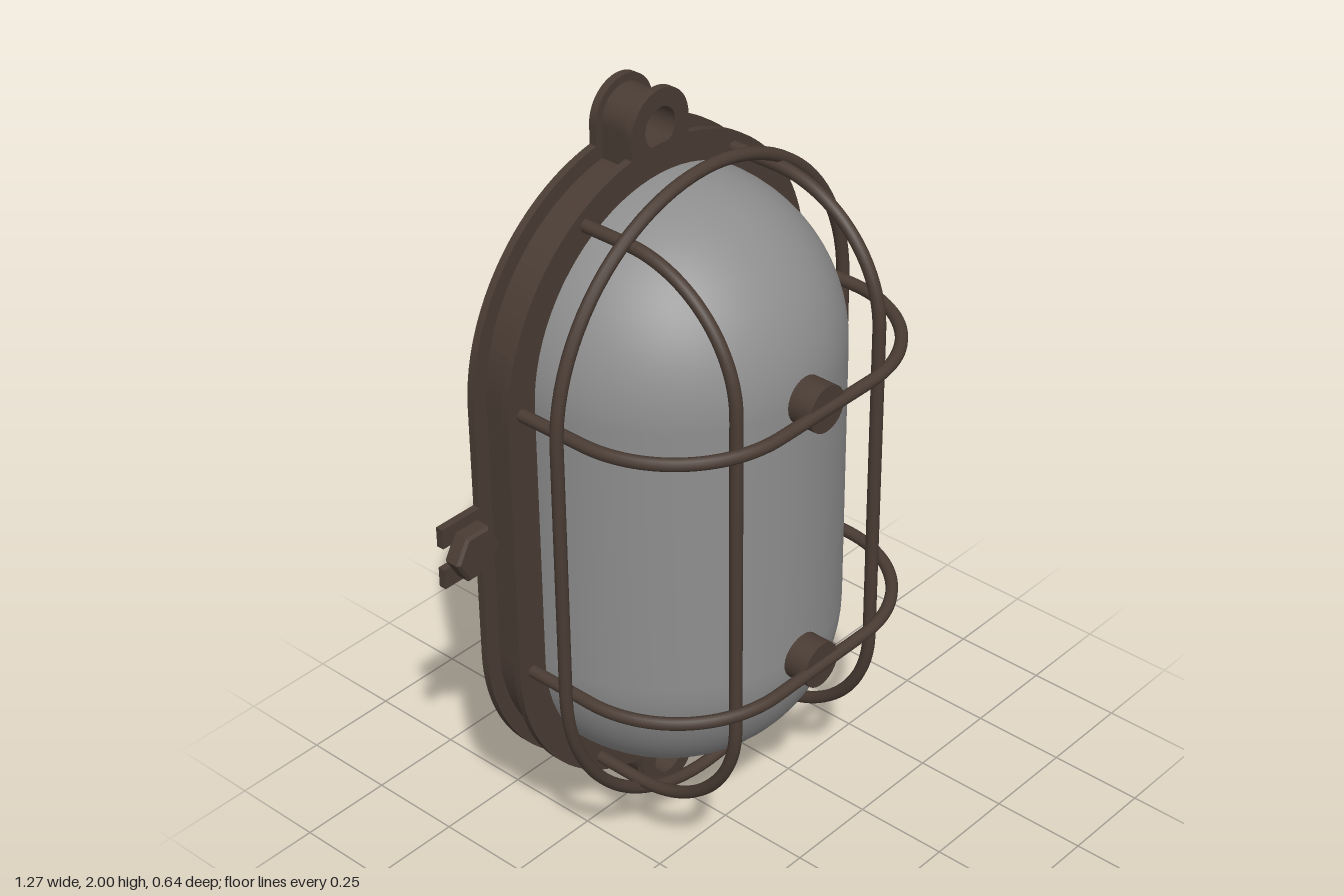
import * as THREE from 'three';

const CY = 1, HALF = 0.35; // centre height and half length of the straight sides

export function createModel() {
  const model = new THREE.Group();
  const bronze = new THREE.MeshStandardMaterial({ color: 0x4a3c34 });
  bronze.name = 'dark bronze';
  const glass = new THREE.MeshStandardMaterial({ color: 0x8e8e8e });
  glass.name = 'grey glass';

  const add = (name, geometry, material = bronze) => {
    const mesh = new THREE.Mesh(geometry, material);
    mesh.name = name;
    model.add(mesh);
    return mesh;
  };

  // Solid plate of a given outline between two depths
  const plate = (name, shape, z0, z1) => {
    const g = new THREE.ExtrudeGeometry(shape, { depth: z1 - z0, bevelEnabled: false, curveSegments: 32 });
    add(name, g.translate(0, 0, z0));
  };

  // Long outline with round ends
  const stadium = (r, half = HALF) => {
    const s = new THREE.Shape();
    s.moveTo(r, CY - half);
    s.lineTo(r, CY + half);
    s.absarc(0, CY + half, r, 0, Math.PI);
    s.lineTo(-r, CY - half);
    s.absarc(0, CY - half, r, Math.PI, Math.PI * 2);
    return s;
  };

  // Round-ended eyelet; dir is +1 at the top, -1 at the bottom
  const eyelet = (r, dir) => {
    const y = CY + dir * 0.905, root = CY + dir * 0.8;
    const s = new THREE.Shape();
    s.moveTo(r, root);
    s.lineTo(r, y);
    s.absarc(0, y, r, 0, dir * Math.PI, dir < 0);
    s.lineTo(-r, root);
    s.closePath();
    const hole = new THREE.Path();
    hole.absarc(0, y, 0.05, 0, Math.PI * 2);
    s.holes.push(hole);
    return s;
  };

  // Housing: a body between two thin flanges, with eyelets to match
  const layers = [
    ['backFlange', -0.325, -0.305, 0.515, 0.095],
    ['body', -0.305, -0.215, 0.475, 0.075],
    ['frontFlange', -0.215, -0.195, 0.515, 0.095],
  ];
  for (const [name, z0, z1, r, lugR] of layers) {
    plate(name, stadium(r), z0, z1);
    plate(name + 'TopEyelet', eyelet(lugR, 1), z0, z1);
    plate(name + 'BottomEyelet', eyelet(lugR, -1), z0, z1);
  }

  // Glass dome: half a capsule
  const R = 0.43, profile = [];
  for (const dir of [-1, 1]) {
    for (let i = 0; i <= 20; i++) {
      const a = (dir < 0 ? i - 20 : i) / 20 * Math.PI / 2;
      profile.push(new THREE.Vector2(R * Math.cos(a), dir * 0.36 + R * Math.sin(a)));
    }
  }
  const dome = add('glassDome', new THREE.LatheGeometry(profile, 48, -Math.PI / 2, Math.PI), glass);
  dome.position.set(0, CY, -0.197);
  dome.scale.z = 0.442 / R;

  // Guard wires
  const wire = (name, points, closed = false) => {
    const curve = new THREE.CatmullRomCurve3(points, closed);
    return add(name, new THREE.TubeGeometry(curve, 128, 0.016, 10, closed));
  };
  // Staple outline: two legs from the flange, round corners, straight front
  const staple = (w, front, r) => {
    const p = new THREE.Path();
    p.moveTo(-w, -0.21);
    p.lineTo(-w, front - r);
    p.absarc(-w + r, front - r, r, Math.PI, Math.PI / 2, true);
    p.lineTo(w - r, front);
    p.absarc(w - r, front - r, r, Math.PI / 2, 0, true);
    p.lineTo(w, -0.21);
    return p.getSpacedPoints(90);
  };

  const ring = stadium(0.5).getSpacedPoints(96).slice(0, -1);
  wire('guardRing', ring.map(p => new THREE.Vector3(p.x, p.y, -0.06)), true);

  for (const x of [-0.25, 0.25]) {
    wire('verticalGuardWire', staple(0.758, 0.252, 0.32).map(p => new THREE.Vector3(x, CY + p.x, p.y)));
  }
  for (const y of [0.64, 1.365]) {
    wire('crossGuardWire', staple(0.472, 0.304, 0.31).map(p => new THREE.Vector3(p.x, y, p.y)));
    // Stud between the glass and the wire
    const stud = add('stud', new THREE.CylinderGeometry(0.06, 0.06, 0.085, 24));
    stud.rotation.x = Math.PI / 2;
    stud.position.set(0, y, 0.2635);
  }

  // Forked side brackets with hexagonal bolts
  for (const side of [-1, 1]) {
    const fork = [[0.45, -0.083], [0.635, -0.083], [0.635, -0.03], [0.56, -0.03],
      [0.56, 0.03], [0.635, 0.03], [0.635, 0.083], [0.45, 0.083]];
    plate('sideBracket', new THREE.Shape(fork.map(([x, y]) => new THREE.Vector2(side * x, CY + y))), -0.325, -0.305);

    const hex = [];
    for (let i = 0; i < 6; i++) {
      const a = i * Math.PI / 3;
      hex.push(new THREE.Vector2(0.064 * Math.cos(a), 0.064 * Math.sin(a)));
    }
    const bolt = new THREE.ExtrudeGeometry(new THREE.Shape(hex), {
      depth: 0.034, bevelThickness: 0.007, bevelSize: 0.007, bevelOffset: -0.002, bevelSegments: 1,
    });
    add('bolt', bolt).position.set(side * 0.565, CY, -0.299);
  }

  return model;
}
